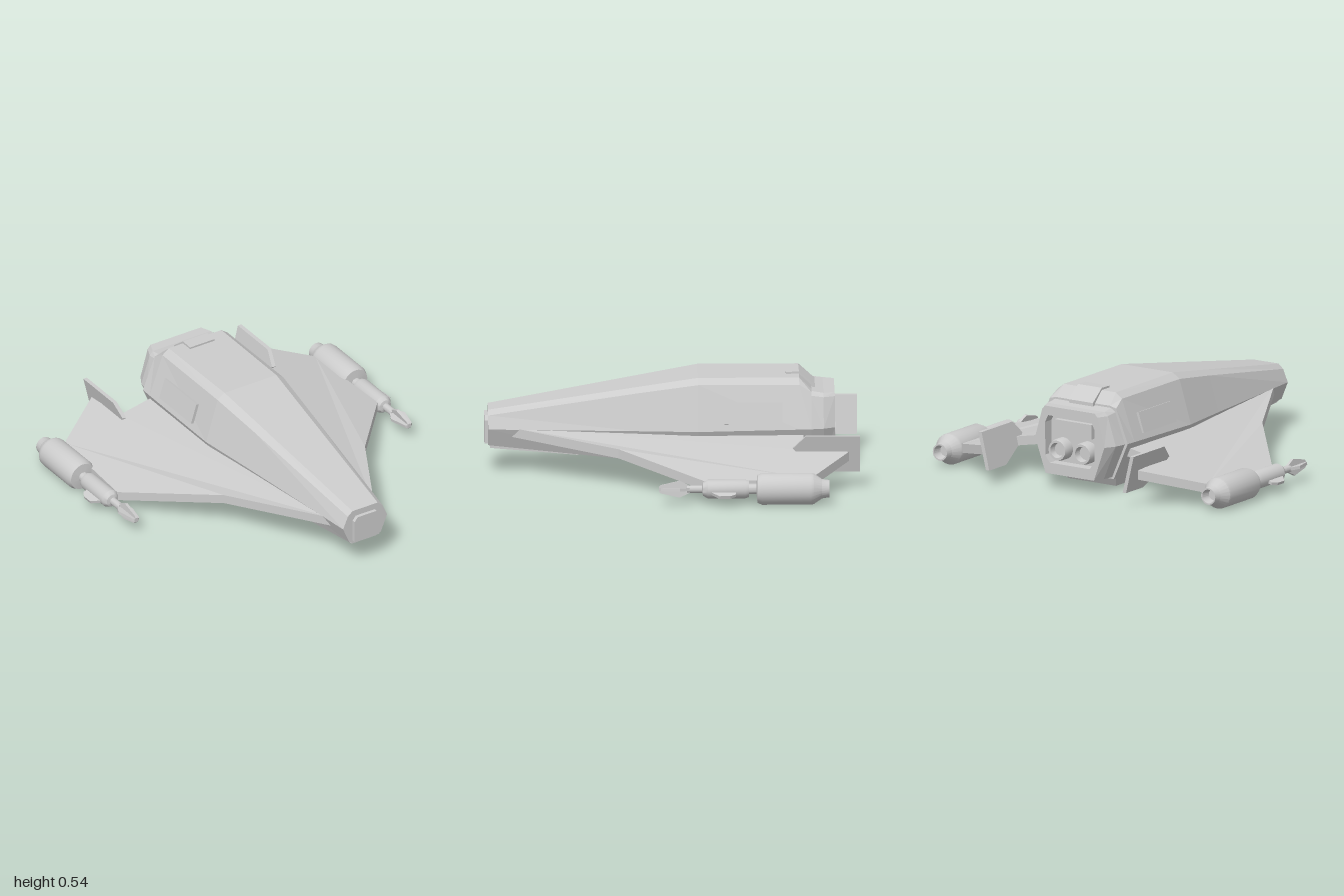
import * as THREE from 'three';
import { toCreasedNormals } from 'three/addons/utils/BufferGeometryUtils.js';

const flat = new THREE.MeshStandardMaterial({ color: 0xcccccc, flatShading: true });
const smooth = new THREE.MeshStandardMaterial({ color: 0xcccccc });

function add(parent, name, geometry, material = flat) {
  const mesh = new THREE.Mesh(geometry, material);
  mesh.name = name;
  parent.add(mesh);
  return mesh;
}

// Move every vertex of a geometry by a rule
function warp(geometry, rule) {
  const p = geometry.attributes.position;
  const v = new THREE.Vector3();
  for (let i = 0; i < p.count; i++) {
    rule(v.fromBufferAttribute(p, i));
    p.setXYZ(i, v.x, v.y, v.z);
  }
  geometry.computeVertexNormals();
  return geometry;
}

// Eight-sided ring, counter-clockwise seen from the front
function octagon([b, yb, w, yw, s, ys, t, yt]) {
  return [[-b, yb], [b, yb], [w, yw], [s, ys], [t, yt], [-t, yt], [-s, ys], [-w, yw]];
}

// Skin rings of points, ordered from back to front, with end caps
function loft(sections) {
  const n = 8, pos = [], index = [];
  for (const [z, ...ring] of sections) {
    for (const [x, y] of octagon(ring)) pos.push(x, y, z);
  }
  for (let i = 0; i < sections.length - 1; i++) {
    for (let k = 0; k < n; k++) {
      const a = i * n + k, b = i * n + (k + 1) % n;
      index.push(a, b, b + n, a, b + n, a + n);
    }
  }
  const last = (sections.length - 1) * n;
  for (let k = 1; k < n - 1; k++) {
    index.push(0, k + 1, k, last, last + k, last + k + 1);
  }
  const g = new THREE.BufferGeometry();
  g.setAttribute('position', new THREE.Float32BufferAttribute(pos, 3));
  g.setIndex(index);
  const out = g.toNonIndexed();
  out.computeVertexNormals();
  return out;
}

const shapeOf = (pts) => new THREE.Shape(pts.map(([x, y]) => new THREE.Vector2(x, y)));
const extrude = (shape, depth) => new THREE.ExtrudeGeometry(shape, { depth, bevelEnabled: false });

// Side profile given as [z, y], extruded across x about the centre
function sideProfile(pts, width) {
  return extrude(shapeOf(pts), width).rotateY(-Math.PI / 2).translate(width / 2, 0, 0);
}

// Turned part given as [radius, z], running from back to front
function turned(pts, sides = 24) {
  const g = new THREE.LatheGeometry(pts.map(([r, z]) => new THREE.Vector2(r, z)), sides);
  return toCreasedNormals(g.rotateX(Math.PI / 2), 0.5);
}

function createWing() {
  const side = new THREE.Group();

  // Drooping wing panel, drawn in plan as [x, -z]
  const plan = shapeOf([[0.13, -0.87], [0.45, -0.29], [0.83, 0.17], [0.8, 0.73],
    [0.49, 0.94], [0.47, 0.7], [0.2, 0.7], [0.13, 0]]);
  add(side, 'wing', warp(extrude(plan, 1).rotateX(-Math.PI / 2), (v) => {
    const top = Math.min(0.265, 0.325 - 0.24 * v.x);
    v.y = top - (v.y > 0.5 ? 0 : 0.05);
  }));

  // Leaning tail fin
  const fin = sideProfile([[-0.64, 0.225], [-0.7, 0.165], [-0.84, 0.09], [-1, 0.09],
    [-1, 0.295], [-0.71, 0.295]].reverse(), 0.022);
  add(side, 'tailFin', warp(fin, (v) => { v.x += 0.47 + (v.y - 0.2) * 0.24; }));

  // Wing-tip pod with its cannon
  const pod = new THREE.Group();
  pod.name = 'wingTipPod';
  pod.position.set(0.87, 0.095, 0);
  side.add(pod);
  add(pod, 'podBody', turned([[0, -0.78], [0.03, -0.78], [0.038, -0.83], [0.046, -0.83],
    [0.052, -0.79], [0.083, -0.745], [0.085, -0.73], [0.085, -0.47], [0.075, -0.445],
    [0.028, -0.44], [0.028, -0.4], [0.044, -0.4], [0.05, -0.38], [0.05, -0.18],
    [0.036, -0.155], [0.02, -0.15], [0.02, -0.07], [0, -0.07]]), smooth);
  const blade = [[-0.085, 0.018], [-0.03, 0.045], [0.07, 0.022], [0.08, 0.012],
    [0.08, -0.012], [0.07, -0.022], [-0.03, -0.045], [-0.085, -0.018]].reverse();
  for (let i = 0; i < 2; i++) {
    add(pod, 'muzzleBlade', sideProfile(blade, 0.016).rotateZ(i * Math.PI / 2 + 0.12));
  }
  const podFin = extrude(shapeOf([[0.03, 0.33], [0.07, 0.33], [0.09, 0.3], [0.09, 0.24],
    [0.03, 0.18]].reverse()), 0.016).rotateX(-Math.PI / 2).translate(0, -0.008, 0);
  add(pod, 'podFin', podFin).rotation.z = -0.3;

  // Raised panel on the hull flank
  const panel = add(side, 'sidePanel', new THREE.BoxGeometry(0.03, 0.115, 0.31));
  panel.position.set(0.256, 0.365, -0.435);
  panel.rotation.z = 0.31;
  return side;
}

export function createModel() {
  const model = new THREE.Group();
  model.name = 'spacecraft';

  // Main hull: z, then half width and height of bottom, waist, shoulder, roof
  add(model, 'hull', loft([
    [-0.745, 0.2, 0.08, 0.29, 0.285, 0.215, 0.47, 0.175, 0.48],
    [-0.68, 0.2, 0.08, 0.29, 0.283, 0.208, 0.51, 0.168, 0.54],
    [-0.14, 0.2, 0.08, 0.283, 0.27, 0.21, 0.51, 0.165, 0.54],
    [0.18, 0.172, 0.09, 0.24, 0.266, 0.18, 0.46, 0.14, 0.486],
    [0.98, 0.1, 0.16, 0.14, 0.255, 0.11, 0.325, 0.08, 0.35],
  ]));

  // Tapered tail with an open engine bay
  add(model, 'tail', loft([
    [-0.81, 0.18, 0.09, 0.258, 0.28, 0.205, 0.44, 0.185, 0.46],
    [-0.74, 0.19, 0.09, 0.272, 0.28, 0.21, 0.45, 0.18, 0.47],
  ]));
  const rim = shapeOf(octagon([0.18, 0.09, 0.258, 0.28, 0.205, 0.44, 0.185, 0.46]));
  rim.holes.push(new THREE.Path([[-0.13, 0.15], [-0.16, 0.19], [-0.16, 0.37], [-0.14, 0.41],
    [0.14, 0.41], [0.16, 0.37], [0.16, 0.19], [0.13, 0.15]].map(([x, y]) => new THREE.Vector2(x, y))));
  add(model, 'tailRim', warp(extrude(rim, 0.06).translate(0, 0, -0.87), (v) => {
    if (v.z < -0.85 && Math.abs(v.x) > 0.17) v.x *= 0.87;
  }));
  add(model, 'enginePanel', new THREE.BoxGeometry(0.24, 0.08, 0.03)).position.set(0, 0.345, -0.825);
  for (const x of [-0.08, 0.08]) {
    add(model, 'engineNozzle', turned([[0, -0.84], [0.036, -0.84], [0.042, -0.875],
      [0.054, -0.875], [0.06, -0.855], [0.06, -0.8]]), smooth).position.set(x, 0.225, 0);
  }

  // Roof hatch following the rear slope
  add(model, 'roofHatch', sideProfile([[-0.61, 0.53], [-0.61, 0.55], [-0.68, 0.552],
    [-0.765, 0.485], [-0.765, 0.45], [-0.7, 0.48]].reverse(), 0.155));

  // Nose plate and chin strip
  add(model, 'nosePlate', extrude(shapeOf([[-0.08, 0.165], [0.08, 0.165], [0.08, 0.29],
    [0.06, 0.315], [-0.06, 0.315], [-0.08, 0.29]]), 0.03).translate(0, 0, 0.97));
  add(model, 'chin', sideProfile([[0.97, 0.2], [0.97, 0.14], [0.5, 0.1], [0.47, 0.115],
    [0.47, 0.2]].reverse(), 0.16));

  // Belly bay, narrowing downwards
  add(model, 'bellyBay', warp(new THREE.BoxGeometry(0.38, 0.08, 0.5).translate(0, 0.06, -0.46), (v) => {
    if (v.y < 0.05) {
      v.x *= 0.82;
      v.z += v.z > -0.46 ? -0.11 : 0.05;
    }
  }));

  // Left and right wings with fins, pods and flank panels
  for (const s of [1, -1]) {
    const wing = createWing();
    wing.name = s > 0 ? 'leftWing' : 'rightWing';
    wing.scale.x = s;
    model.add(wing);
  }
  return model;
}
